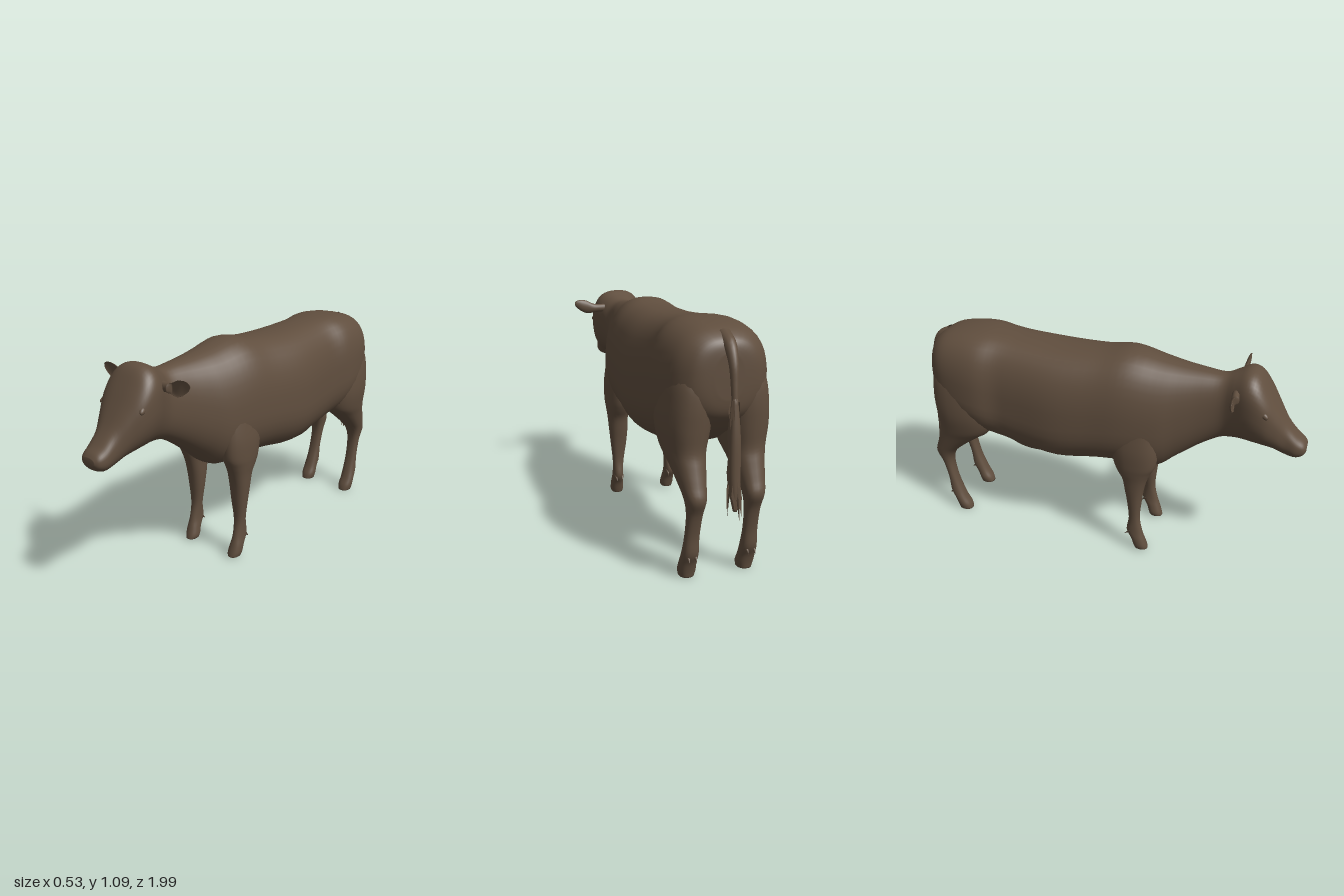
import * as THREE from 'three';

const hide = new THREE.MeshStandardMaterial({ color: 0x604e3e, side: THREE.DoubleSide });
hide.name = 'brown hide';

// Smoothly adds in-between rows to a list of cross-sections
function refine(rows, sub) {
  const out = [], last = rows.length - 1;
  for (let i = 0; i < last; i++) {
    const a = rows[Math.max(i - 1, 0)], b = rows[i], c = rows[i + 1], d = rows[Math.min(i + 2, last)];
    for (let s = 0; s < sub; s++) {
      const t = s / sub;
      out.push(b.map((v, k) => 0.5 * (2 * v + (c[k] - a[k]) * t +
        (2 * a[k] - 5 * v + 4 * c[k] - d[k]) * t * t + (3 * v - a[k] - 3 * c[k] + d[k]) * t * t * t)));
    }
  }
  out.push(rows[last]);
  return out;
}

// Closed skin through cross-sections; ring(row, angle) gives a point [x, y, z]
function loft(name, rows, ring, n = 28, sub = 4) {
  const secs = refine(rows, sub), pos = [], idx = [];
  secs.forEach(r => {
    for (let j = 0; j < n; j++) pos.push(...ring(r, (j / n) * Math.PI * 2));
  });
  for (let i = 0; i < secs.length - 1; i++)
    for (let j = 0; j < n; j++) {
      const a = i * n + j, b = i * n + (j + 1) % n;
      idx.push(a, b, a + n, b, b + n, a + n);
    }
  const at = i => new THREE.Vector3().fromArray(pos, i * 3);
  for (const end of [0, secs.length - 1]) {
    const mid = new THREE.Vector3();
    for (let j = 0; j < n; j++) mid.addScaledVector(at(end * n + j), 1 / n);
    const m = pos.length / 3;
    pos.push(mid.x, mid.y, mid.z);
    for (let j = 0; j < n; j++) {
      const a = end * n + j, b = end * n + (j + 1) % n;
      if (end === 0) idx.push(m, b, a); else idx.push(m, a, b);
    }
  }
  // Turn the faces outward if the skin came out inverted
  let volume = 0;
  for (let i = 0; i < idx.length; i += 3) volume += at(idx[i]).dot(at(idx[i + 1]).cross(at(idx[i + 2])));
  if (volume < 0) idx.reverse();
  const g = new THREE.BufferGeometry();
  g.setAttribute('position', new THREE.Float32BufferAttribute(pos, 3));
  g.setIndex(idx);
  g.computeVertexNormals();
  return part(name, g);
}

function part(name, geometry) {
  const m = new THREE.Mesh(geometry, hide);
  m.name = name;
  return m;
}

const power = (v, p) => Math.sign(v) * Math.pow(Math.abs(v), p);

// Upright ring: z, top, bottom, half width, height of widest point (0-1), upper exponent
function bodyRing([z, top, bottom, w, f, n], t) {
  const c = Math.cos(t), s = Math.sin(t), mid = bottom + (top - bottom) * f;
  const e = 2 / (s > 0 ? n : 2.3);
  return [w * power(c, e), mid + power(s, e) * (s > 0 ? top - mid : mid - bottom), z];
}

// Level ring: y, back z, front z, inner x, outer x
const limbRing = side => ([y, z0, z1, x0, x1], t) => [
  side * ((x0 + x1) / 2 + power(Math.cos(t), 0.88) * (x1 - x0) / 2), y,
  (z0 + z1) / 2 + power(Math.sin(t), 0.88) * (z1 - z0) / 2];

export function createModel() {
  const cow = new THREE.Group();
  cow.name = 'cow';

  // Trunk, neck and head as one continuous skin
  cow.add(loft('trunkNeckAndHead', [
    [-0.892, 0.96, 0.78, 0.06, 0.5, 2.2],
    [-0.884, 1.0, 0.73, 0.12, 0.5, 2.4],
    [-0.86, 1.03, 0.69, 0.165, 0.45, 2.6],
    [-0.8, 1.062, 0.63, 0.208, 0.42, 2.8],
    [-0.7, 1.08, 0.57, 0.232, 0.4, 2.9],
    [-0.6, 1.085, 0.53, 0.237, 0.4, 2.9],
    [-0.5, 1.078, 0.5, 0.217, 0.4, 2.8],
    [-0.4, 1.07, 0.478, 0.222, 0.4, 2.7],
    [-0.2, 1.062, 0.46, 0.24, 0.4, 2.6],
    [0, 1.07, 0.488, 0.226, 0.4, 2.5],
    [0.15, 1.092, 0.498, 0.215, 0.4, 2.4],
    [0.3, 1.066, 0.492, 0.187, 0.42, 2.3],
    [0.4, 1.05, 0.565, 0.15, 0.44, 2.3],
    [0.5, 1.04, 0.643, 0.115, 0.46, 2.3],
    [0.59, 1.034, 0.7, 0.096, 0.5, 2.3],
    [0.645, 1.055, 0.715, 0.108, 0.6, 2.4],
    [0.7, 1.08, 0.72, 0.13, 0.62, 2.5],
    [0.75, 1.065, 0.717, 0.137, 0.6, 2.5],
    [0.8, 1.0, 0.71, 0.128, 0.62, 2.5],
    [0.85, 0.92, 0.698, 0.1, 0.58, 2.6],
    [0.9, 0.842, 0.676, 0.073, 0.52, 2.6],
    [0.95, 0.785, 0.667, 0.067, 0.5, 2.5],
    [0.985, 0.757, 0.682, 0.056, 0.5, 2.4],
    [1.0, 0.738, 0.705, 0.036, 0.5, 2.2],
  ], bodyRing, 40));

  // Udder under the rear of the belly
  const udder = part('udder', new THREE.SphereGeometry(1, 28, 18));
  udder.scale.set(0.115, 0.085, 0.19);
  udder.position.set(0, 0.515, -0.375);
  udder.rotation.x = 0.08;
  cow.add(udder);

  const foreRows = [
    [0.8, 0.09, 0.31, 0.08, 0.19], [0.65, 0.09, 0.325, 0.08, 0.212], [0.55, 0.105, 0.32, 0.085, 0.212],
    [0.5, 0.125, 0.298, 0.09, 0.207], [0.45, 0.152, 0.278, 0.094, 0.2], [0.38, 0.166, 0.262, 0.096, 0.194],
    [0.3, 0.18, 0.252, 0.103, 0.186], [0.2, 0.19, 0.246, 0.118, 0.176], [0.12, 0.18, 0.262, 0.122, 0.176],
    [0.07, 0.205, 0.277, 0.117, 0.18], [0.03, 0.218, 0.29, 0.112, 0.18], [0.01, 0.224, 0.295, 0.117, 0.174]];
  const hindRows = [
    [0.95, -0.82, -0.58, 0.05, 0.18], [0.85, -0.87, -0.55, 0.03, 0.215], [0.75, -0.88, -0.54, 0.02, 0.232],
    [0.65, -0.873, -0.545, 0.025, 0.236], [0.56, -0.865, -0.58, 0.045, 0.222], [0.5, -0.88, -0.66, 0.06, 0.205],
    [0.43, -0.903, -0.752, 0.075, 0.188], [0.37, -0.92, -0.812, 0.085, 0.175], [0.3, -0.89, -0.832, 0.095, 0.165],
    [0.2, -0.867, -0.818, 0.1, 0.165], [0.12, -0.862, -0.793, 0.098, 0.17], [0.07, -0.84, -0.774, 0.098, 0.174],
    [0.03, -0.828, -0.753, 0.096, 0.174], [0, -0.822, -0.745, 0.102, 0.168]];

  for (const side of [1, -1]) {
    const label = side > 0 ? 'left' : 'right';
    cow.add(loft(label + 'FrontLeg', foreRows, limbRing(side), 24));
    cow.add(loft(label + 'HindLeg', hindRows, limbRing(side), 24));

    // Dew claws behind the fetlocks
    for (const [x, y, z] of [[0.133, 0.105, 0.188], [0.165, 0.105, 0.188], [0.118, 0.1, -0.855], [0.15, 0.1, -0.855]]) {
      const claw = part(label + 'DewClaw', new THREE.ConeGeometry(0.011, 0.04, 10));
      claw.position.set(side * x, y, z);
      claw.rotation.x = -2.3;
      cow.add(claw);
    }

    // Ear: x, centre y, half height, centre z, half thickness; hollow at the front
    cow.add(loft(label + 'Ear', [
      [0.09, 0.985, 0.024, 0.66, 0.02], [0.13, 0.985, 0.022, 0.662, 0.018], [0.16, 0.985, 0.026, 0.666, 0.02],
      [0.195, 0.992, 0.036, 0.67, 0.02], [0.23, 1.002, 0.031, 0.668, 0.015], [0.255, 1.01, 0.019, 0.668, 0.009],
      [0.266, 1.013, 0.007, 0.668, 0.004],
    ], ([x, y, h, z, d], t) => {
      const s = Math.sin(t), cup = s > 0 && x > 0.15 ? -0.3 : 1;
      return [side * x, y + h * Math.cos(t), z + d * s * cup];
    }, 20));

    // Eye bulge under the brow
    const eye = part(label + 'Eye', new THREE.SphereGeometry(1, 16, 12));
    eye.scale.set(0.012, 0.014, 0.024);
    eye.position.set(side * 0.119, 0.915, 0.795);
    eye.rotation.set(0.5, side * 0.35, 0);
    cow.add(eye);
  }

  // Tail tapering from the rump
  const path = new THREE.CatmullRomCurve3([[1.025, -0.82], [0.995, -0.885], [0.93, -0.921], [0.85, -0.934],
    [0.72, -0.945], [0.55, -0.953]].map(([y, z]) => new THREE.Vector3(0, y, z)));
  const tube = new THREE.TubeGeometry(path, 28, 1, 12);
  const p = tube.attributes.position, v = new THREE.Vector3();
  for (let i = 0; i < p.count; i++) {
    const u = Math.floor(i / 13) / 28, c = path.getPointAt(u);
    v.fromBufferAttribute(p, i).sub(c).multiplyScalar(0.011 + 0.024 * Math.pow(1 - u, 3)).add(c);
    p.setXYZ(i, v.x, v.y, v.z);
  }
  cow.add(part('tail', tube));

  // Tail switch: a soft core with ragged locks of hair
  cow.add(loft('tailSwitchCore', [
    [0.8, -0.952, -0.927, -0.012, 0.012], [0.65, -0.971, -0.922, -0.023, 0.023], [0.5, -0.977, -0.93, -0.024, 0.024],
    [0.4, -0.98, -0.942, -0.018, 0.018], [0.34, -0.977, -0.96, -0.008, 0.008]], limbRing(1), 14));
  let seed = 7;
  const rand = () => (seed = (seed * 16807) % 2147483647) / 2147483647;
  const locks = new THREE.Group();
  locks.name = 'tailSwitchLocks';
  for (let i = 0; i < 34; i++) {
    const y = 0.8 - 0.34 * (i / 33), length = 0.13 + 0.05 * rand(), width = 0.008 + 0.008 * rand();
    const shape = new THREE.Shape([[-0.5, 0], [0.5, 0], [1, -0.45], [0.6, -0.8], [0.2, -1], [-0.1, -0.82], [-0.9, -0.6]]
      .map(([a, b]) => new THREE.Vector2(a * width, b * length)));
    const lock = part('hairLock', new THREE.ShapeGeometry(shape));
    const a = i * 2.4, r = 0.011 + 0.01 * rand();
    lock.position.set(Math.sin(a) * r, y, -0.937 - (0.8 - y) * 0.06 + Math.cos(a) * r);
    lock.rotation.set(0.05 + 0.06 * (rand() - 0.5), a, 0.12 * (rand() - 0.5), 'YXZ');
    lock.rotation.x *= -1;
    locks.add(lock);
  }
  // Longest lock at the tip
  const tip = part('tipLock', new THREE.ConeGeometry(0.014, 0.16, 5));
  tip.position.set(-0.008, 0.385, -0.978);
  tip.rotation.x = Math.PI + 0.2;
  locks.add(tip);
  cow.add(locks);

  return cow;
}
